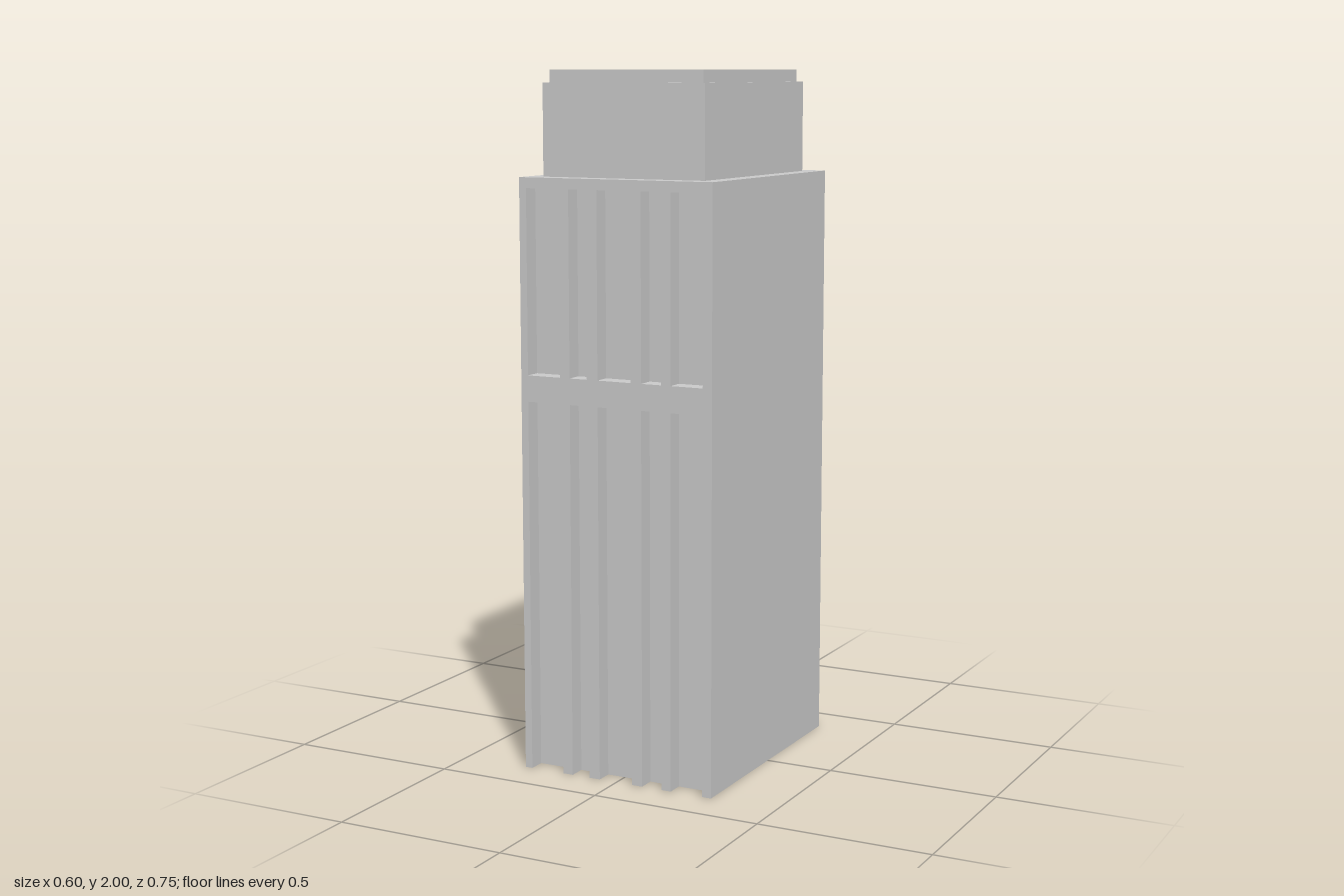
import * as THREE from 'three';

const W = 0.3, D = 0.375, H = 1.705, RECESS = 0.05;
// window columns (x from, x to) and rows (y from, y to)
const columns = [[-0.278, -0.173], [-0.143, -0.088], [-0.054, 0.05], [0.083, 0.145], [0.174, 0.272]];
const lowerRow = [0, 1.075], upperRow = [1.15, 1.675];

const material = new THREE.MeshStandardMaterial({ color: 0xcccccc, side: THREE.DoubleSide });

function mesh(name, geometry) {
  const m = new THREE.Mesh(geometry, material);
  m.name = name;
  return m;
}

// flat four-cornered faces, corners counter-clockwise seen from outside
function quads(list) {
  const pos = [];
  for (const [a, b, c, d] of list) pos.push(...a, ...b, ...c, ...a, ...c, ...d);
  const g = new THREE.BufferGeometry();
  g.setAttribute('position', new THREE.Float32BufferAttribute(pos, 3));
  g.computeVertexNormals();
  return g;
}

const rectPoints = (x0, x1, y0, y1) =>
  [[x0, y0], [x1, y0], [x1, y1], [x0, y1]].map(p => new THREE.Vector2(...p));

// recessed window: back panel, two reveals, head and (if raised) a sill
function recess([x0, x1], [y0, y1]) {
  const f = D, b = D - RECESS;
  const list = [
    [[x0, y0, b], [x1, y0, b], [x1, y1, b], [x0, y1, b]],
    [[x0, y0, f], [x0, y0, b], [x0, y1, b], [x0, y1, f]],
    [[x1, y0, b], [x1, y0, f], [x1, y1, f], [x1, y1, b]],
    [[x0, y1, b], [x1, y1, b], [x1, y1, f], [x0, y1, f]],
  ];
  if (y0 > 0) list.push([[x0, y0, f], [x1, y0, f], [x1, y0, b], [x0, y0, b]]);
  return quads(list);
}

// windowed face: lower windows are notches open at the ground, upper ones are holes
function facade(name) {
  const group = new THREE.Group();
  group.name = name;
  const outline = [[-W, 0]];
  for (const [x0, x1] of columns)
    outline.push([x0, 0], [x0, lowerRow[1]], [x1, lowerRow[1]], [x1, 0]);
  outline.push([W, 0], [W, H], [-W, H]);
  const shape = new THREE.Shape(outline.map(p => new THREE.Vector2(...p)));
  for (const c of columns) shape.holes.push(new THREE.Path(rectPoints(...c, ...upperRow)));
  group.add(mesh('facadeFrame', new THREE.ShapeGeometry(shape).translate(0, 0, D)));
  for (const c of columns) {
    group.add(mesh('lowerWindow', recess(c, lowerRow)));
    group.add(mesh('upperWindow', recess(c, upperRow)));
  }
  return group;
}

// four upright walls around a rectangle
function walls([x0, x1, z0, z1], y0, y1) {
  const corners = [[x0, z1], [x1, z1], [x1, z0], [x0, z0]];
  return quads(corners.map(([ax, az], i) => {
    const [bx, bz] = corners[(i + 1) % 4];
    return [[ax, y0, az], [bx, y0, bz], [bx, y1, bz], [ax, y1, az]];
  }));
}

// level surface, optionally with a rectangular opening for the tier above
function deck([x0, x1, z0, z1], y, inner) {
  const shape = new THREE.Shape(rectPoints(x0, x1, -z1, -z0));
  if (inner) shape.holes.push(new THREE.Path(rectPoints(inner[0], inner[1], -inner[3], -inner[2])));
  return new THREE.ShapeGeometry(shape).rotateX(-Math.PI / 2).translate(0, y, 0);
}

export function createModel() {
  const model = new THREE.Group();
  model.name = 'tower';

  // main shaft, open underneath
  const front = facade('frontFacade');
  const back = facade('backFacade');
  back.rotation.y = Math.PI;
  model.add(front, back);
  model.add(mesh('sideWalls', quads([
    [[W, 0, D], [W, 0, -D], [W, H, -D], [W, H, D]],
    [[-W, 0, -D], [-W, 0, D], [-W, H, D], [-W, H, -D]],
  ])));

  // stepped crown
  const base = [-W, W, -D, D];
  const tier = [-0.254, 0.25, -0.322, 0.32];
  const cap = [-0.241, 0.237, -0.305, 0.303];
  model.add(
    mesh('roofLedge', deck(base, H, tier)),
    mesh('upperTierWalls', walls(tier, H, 1.965)),
    mesh('upperTierLedge', deck(tier, 1.965, cap)),
    mesh('capWalls', walls(cap, 1.965, 2)),
    mesh('capTop', deck(cap, 2)),
  );
  return model;
}
